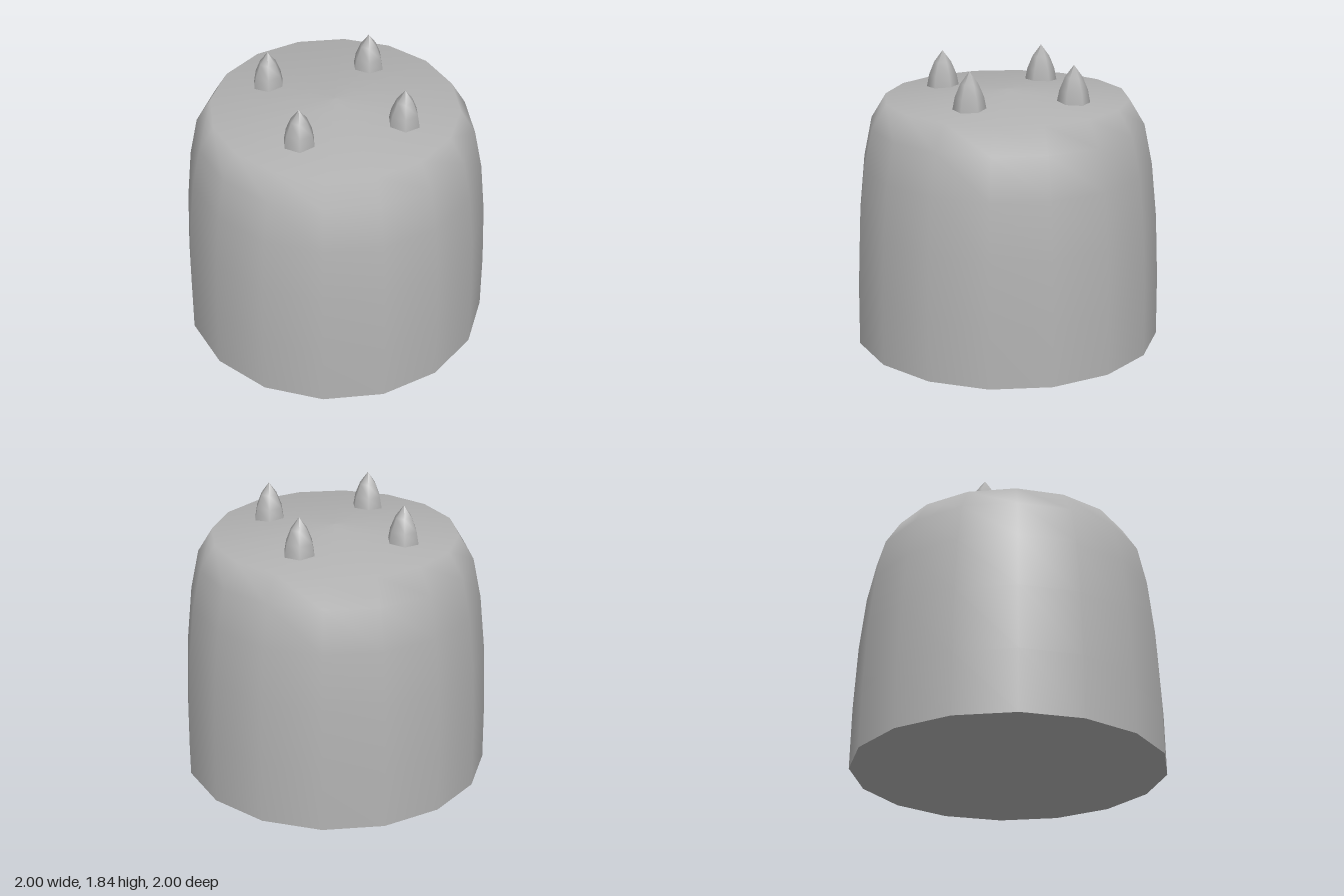
import * as THREE from 'three';

const lathe = (profile, sides) =>
  new THREE.LatheGeometry(profile.map(([r, y]) => new THREE.Vector2(r, y)), sides);

export function createModel() {
  const model = new THREE.Group();
  const gray = new THREE.MeshStandardMaterial({ color: 0xb2b2b2 });
  gray.name = 'stone gray';

  const add = (name, geometry) => {
    const mesh = new THREE.Mesh(geometry, gray);
    mesh.name = name;
    model.add(mesh);
    return mesh;
  };

  // Tapered sixteen-sided body with a shallow domed top, smooth over the rim
  add('body', lathe([
    [1, 0], [0.995, 0.4], [0.975, 0.82], [0.938, 1.17],
    [0.883, 1.43], [0.785, 1.59], [0, 1.64],
  ], 16));

  // Flat underside, its corners matching the body
  add('base', new THREE.CircleGeometry(1, 16)).rotation.x = Math.PI / 2;

  // Four six-sided pointed spikes around the top
  const spike = lathe([[0.105, 0], [0.09, 0.08], [0.055, 0.165], [0, 0.24]], 6);
  spike.rotateY(Math.PI / 2);
  for (let i = 0; i < 4; i++) {
    const a = (i * Math.PI) / 2;
    add('spike', spike).position.set(0.475 * Math.cos(a), 1.603, 0.475 * Math.sin(a));
  }

  return model;
}
